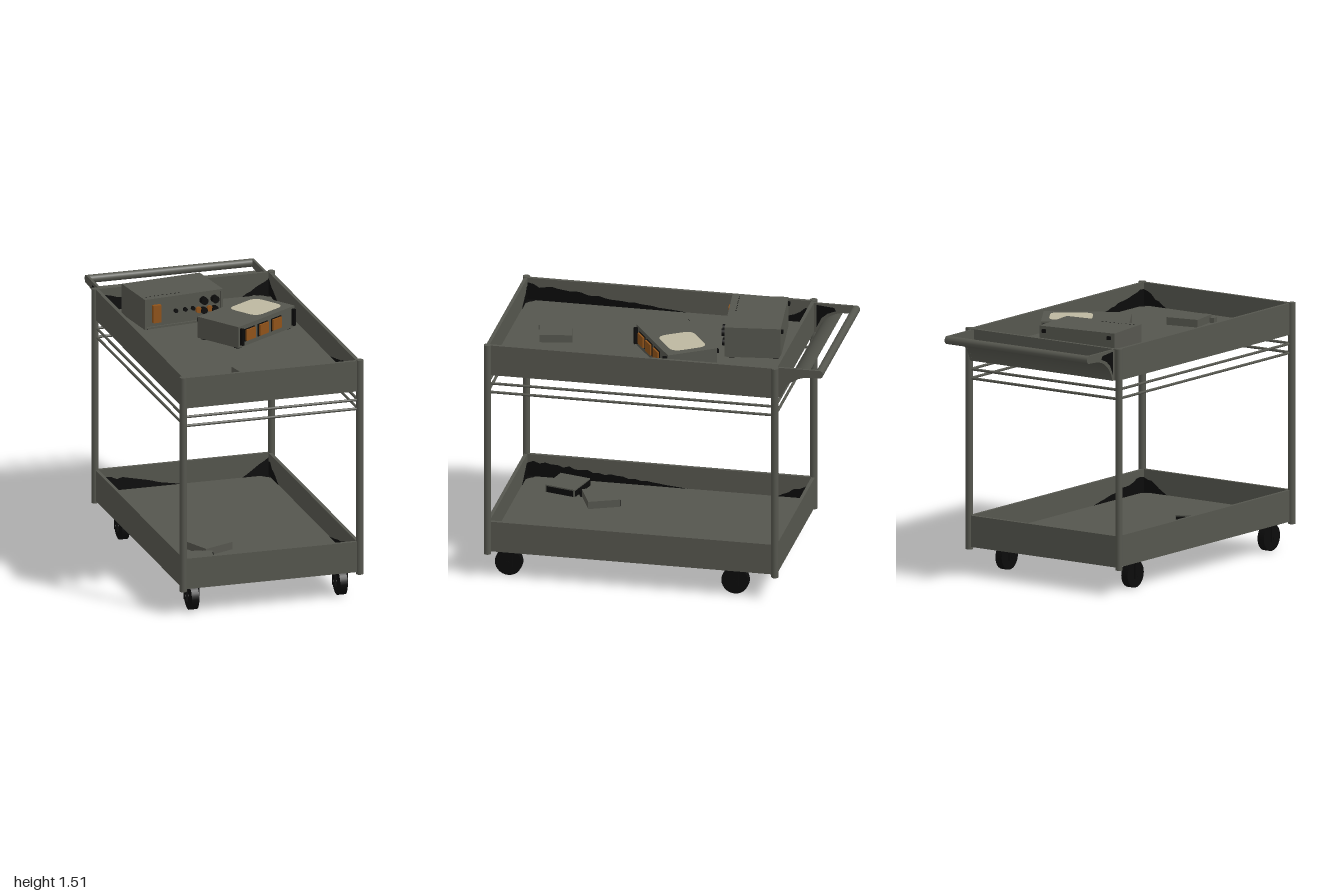
import * as THREE from 'three';

const paint = new THREE.MeshStandardMaterial({ color: 0x55564e });
const sheet = new THREE.MeshStandardMaterial({ color: 0x55564e, side: THREE.DoubleSide });
const black = new THREE.MeshStandardMaterial({ color: 0x0b0b0b });
const grime = new THREE.MeshStandardMaterial({ color: 0x0b0b0b, side: THREE.DoubleSide });
const orange = new THREE.MeshStandardMaterial({ color: 0x8f5219 });
const cream = new THREE.MeshStandardMaterial({ color: 0xbdb7a0 });
paint.name = 'grey paint'; sheet.name = 'grey sheet'; black.name = 'black rubber';
grime.name = 'black grime'; orange.name = 'rust orange'; cream.name = 'cream paper';

const X = 0.535, ZF = 0.98, ZB = -0.72, ZC = (ZF + ZB) / 2, LEN = ZF - ZB;

function add(parent, name, geo, mat, x = 0, y = 0, z = 0) {
  const m = new THREE.Mesh(geo, mat);
  m.name = name;
  m.position.set(x, y, z);
  parent.add(m);
  return m;
}
const box = (p, name, mat, w, h, d, x, y, z) => add(p, name, new THREE.BoxGeometry(w, h, d), mat, x, y, z);

// Cylinder lying along 'x' or 'z', or standing along 'y'
function rod(p, name, mat, r, len, axis, x, y, z, sides = 16) {
  const g = new THREE.CylinderGeometry(r, r, len, sides);
  if (axis === 'x') g.rotateZ(Math.PI / 2);
  if (axis === 'z') g.rotateX(Math.PI / 2);
  return add(p, name, g, mat, x, y, z);
}

let seed = 7;
const rnd = () => (seed = (seed * 16807) % 2147483647) / 2147483647;

// Ragged stain that fades away from a tray corner
function stain(p, len, h, angle, x, y, z) {
  const s = new THREE.Shape();
  s.moveTo(0, 0);
  const n = Math.max(6, Math.round(len / 0.035));
  for (let i = 0; i < n; i++) s.lineTo((i / n) * len, h * (1 - i / n) * (0.75 + 0.25 * rnd()));
  s.lineTo(len, 0);
  add(p, 'grimeStain', new THREE.ShapeGeometry(s), grime, x, y, z).rotation.y = angle;
}

function tray(p, name, bottom) {
  const g = new THREE.Group();
  g.name = name;
  p.add(g);
  const H = 0.185, y = bottom + H / 2, floor = bottom + 0.05;
  for (const s of [-1, 1]) {
    box(g, 'sideWall', paint, 0.02, H, LEN, s * 0.525, y, ZC);
    box(g, 'endWall', paint, 2 * X - 0.02, H, 0.02, 0, y, s > 0 ? ZF : ZB);
  }
  box(g, 'trayFloor', paint, 2 * X - 0.03, 0.015, LEN - 0.01, 0, floor - 0.0075, ZC);
  // Stains on walls and floor in each corner
  for (const sx of [-1, 1]) for (const sz of [-1, 1]) {
    const long = sx !== sz;
    const z = sz > 0 ? ZF - 0.012 : ZB + 0.012, x = sx * 0.513;
    stain(g, long && sx < 0 ? 0.95 : sx > 0 && sz > 0 ? 0.5 : 0.2, 0.11, sz * Math.PI / 2, x, floor, z);
    stain(g, sz < 0 && sx < 0 ? 0.5 : 0.16, 0.11, sx < 0 ? 0 : Math.PI, x, floor, z);
    const c = new THREE.Shape([[0, 0], [0.06, 0], [0.035, 0.02], [0.02, 0.04], [0, 0.05]].map(a => new THREE.Vector2(-a[0] * sx, -a[1] * sz)));
    const m = add(g, 'floorStain', new THREE.ShapeGeometry(c), grime, x, floor + 0.002, z);
    m.rotation.x = Math.PI / 2;
  }
  return g;
}

function caster(p, x, z) {
  const g = new THREE.Group();
  g.name = 'caster';
  g.position.set(x, 0, z);
  p.add(g);
  rod(g, 'wheel', black, 0.08, 0.045, 'x', 0, 0.08, 0, 28);
  rod(g, 'axle', black, 0.014, 0.085, 'x', 0, 0.08, 0, 12);
  box(g, 'forkTop', black, 0.08, 0.012, 0.1, 0, 0.166, 0);
  for (const s of [-1, 1]) box(g, 'forkPlate', black, 0.01, 0.11, 0.05, s * 0.035, 0.111, 0);
}

// Push handle: two curved brackets, a curved sheet and a round bar
function pushHandle(p) {
  const g = new THREE.Group();
  g.name = 'pushHandle';
  p.add(g);
  const curve = new THREE.CubicBezierCurve(
    new THREE.Vector2(0.75, 1.268), new THREE.Vector2(0.765, 1.34),
    new THREE.Vector2(0.83, 1.4), new THREE.Vector2(0.92, 1.402));
  const pts = curve.getPoints(14);
  const side = new THREE.Shape([...pts, new THREE.Vector2(0.975, 1.405), new THREE.Vector2(0.975, 1.45),
    new THREE.Vector2(0.73, 1.45), new THREE.Vector2(0.73, 1.268)]);
  const plate = new THREE.ExtrudeGeometry(side, { depth: 0.014, bevelEnabled: false });
  plate.rotateY(Math.PI / 2).translate(-0.007, 0, 0);
  const dark = new THREE.ShapeGeometry(new THREE.Shape([[0.745, 1.3], [0.775, 1.36], [0.81, 1.39], [0.86, 1.41], [0.85, 1.43], [0.745, 1.44]]
    .map(a => new THREE.Vector2(...a)))).rotateY(Math.PI / 2);
  for (const s of [-1, 1]) {
    add(g, 'handleBracket', plate, paint, s * 0.502);
    add(g, 'bracketStain', dark, grime, -0.502 + s * 0.009);
  }
  const pos = [], idx = [];
  pts.forEach((q, i) => {
    const z = Math.min(q.x, 0.9);
    pos.push(-0.5, q.y + 0.001, -z, 0.5, q.y + 0.001, -z);
    if (i) idx.push(2 * i - 2, 2 * i - 1, 2 * i, 2 * i - 1, 2 * i + 1, 2 * i);
  });
  const geo = new THREE.BufferGeometry();
  geo.setAttribute('position', new THREE.Float32BufferAttribute(pos, 3));
  geo.setIndex(idx);
  geo.computeVertexNormals();
  add(g, 'handleSheet', geo, sheet);
  rod(g, 'handleBar', paint, 0.024, 1.018, 'x', 0, 1.427, -0.976, 20);
}

// Instrument case with feet and front and rear grips; its front is +z
function instrument(p, name, x, y, z, angle, w, h, d) {
  const g = new THREE.Group();
  g.name = name;
  g.position.set(x, y, z);
  g.rotation.y = angle;
  p.add(g);
  box(g, 'case', paint, w, h - 0.01, d, 0, h / 2 + 0.005, 0);
  for (const sx of [-1, 1]) for (const sz of [-1, 1])
    box(g, 'foot', black, 0.03, 0.01, 0.03, sx * (w / 2 - 0.03), 0.005, sz * (d / 2 - 0.03));
  return g;
}

// Small flat box lying on a tray
function packet(p, x, y, z, angle, tab) {
  const g = new THREE.Group();
  g.name = 'smallBox';
  g.position.set(x, y, z);
  g.rotation.y = angle;
  p.add(g);
  box(g, 'boxBody', paint, 0.2, 0.045, 0.19, 0, 0.0225, 0);
  box(g, 'boxTab', tab, 0.04, 0.03, 0.04, -0.11, 0.015, 0.085);
  return g;
}

export function createModel() {
  const root = new THREE.Group();
  root.name = 'utilityCart';

  // Corner posts, rails and casters
  for (const x of [-X, X]) for (const z of [ZF, ZB]) {
    rod(root, 'cornerPost', paint, 0.021, 1.305, 'y', x, 0.8025, z, 20);
    caster(root, Math.sign(x) * 0.45, z > 0 ? 0.87 : -0.47);
  }
  for (const y of [1.158, 1.212]) for (const s of [-1, 1]) {
    rod(root, 'sideRail', paint, 0.008, LEN, 'z', s * 0.525, y, ZC, 10);
    rod(root, 'endRail', paint, 0.008, 2 * X, 'x', 0, y, s > 0 ? ZF : ZB, 10);
  }

  // Trays
  tray(root, 'topTray', 1.267);
  tray(root, 'lowerTray', 0.165);
  box(root, 'lowerUnderside', black, 2 * X - 0.02, 0.008, LEN, 0, 0.168, ZC);
  pushHandle(root);

  // Tall instrument with framed front, switch, knobs and vents
  const FL = 1.317;
  const a = instrument(root, 'tallInstrument', -0.147, FL, -0.47, 0.12, 0.495, 0.193, 0.315);
  for (const s of [-1, 1]) {
    box(a, 'frontFrameSide', paint, 0.012, 0.183, 0.012, s * 0.2415, 0.1015, 0.162);
    box(a, 'frontFrameBar', paint, 0.495, 0.012, 0.012, 0, s > 0 ? 0.187 : 0.016, 0.162);
    box(a, 'rearFoot', black, 0.022, 0.02, 0.014, s * 0.215, 0.165, -0.163);
  }
  box(a, 'powerSwitch', orange, 0.05, 0.105, 0.025, -0.173, 0.1, 0.17);
  for (const x of [-0.05, 0.01, 0.06]) rod(a, 'socket', black, 0.012, 0.02, 'z', x, 0.1, 0.165, 12);
  for (const x of [0.125, 0.195]) {
    rod(a, 'knob', black, 0.022, 0.035, 'z', x, 0.14, 0.172);
    rod(a, 'knobRing', orange, 0.018, 0.02, 'z', x - 0.03, 0.085, 0.164);
    rod(a, 'lowerKnob', black, 0.02, 0.03, 'z', x, 0.08, 0.17);
  }
  for (let i = 0; i < 9; i++) box(a, 'ventHole', black, 0.008, 0.002, 0.005, -0.22 + i * 0.026, 0.1935, 0.125);

  // Low instrument with three buttons, grips and a paper label
  const b = instrument(root, 'lowInstrument', 0.175, FL, -0.0625, 0.577, 0.513, 0.138, 0.305);
  for (const i of [-1, 0, 1]) {
    box(b, 'button', orange, 0.08, 0.065, 0.024, -0.036 + i * 0.12, 0.075, 0.156);
    box(b, 'buttonBase', black, 0.09, 0.075, 0.006, -0.036 + i * 0.12, 0.075, 0.154);
  }
  for (const s of [-1, 1]) {
    box(b, 'frontGrip', black, 0.016, 0.1, 0.024, s * 0.235, 0.075, 0.162);
    box(b, 'rearBolt', black, 0.022, 0.022, 0.016, s * 0.235, 0.115, -0.158);
  }
  const label = new THREE.Shape(), lw = 0.125, lh = 0.11, r = 0.06;
  label.moveTo(-lw + r, -lh);
  label.lineTo(lw - r, -lh).quadraticCurveTo(lw, -lh, lw, -lh + r);
  label.lineTo(lw, lh - r).quadraticCurveTo(lw, lh, lw - r, lh);
  label.lineTo(-lw + r, lh).quadraticCurveTo(-lw, lh, -lw, lh - r);
  label.lineTo(-lw, -lh + r).quadraticCurveTo(-lw, -lh, -lw + r, -lh);
  add(b, 'paperLabel', new THREE.ShapeGeometry(label), cream, 0.089, 0.1405, 0).rotation.x = -Math.PI / 2;

  // Small boxes on both trays
  packet(root, -0.01, FL, 0.69, 0.19, paint);
  const lowY = 0.215;
  const c = packet(root, -0.22, lowY, 0.47, 0.4, black);
  box(c, 'boxBack', black, 0.19, 0.035, 0.006, 0, 0.02, -0.096);
  const d = packet(root, -0.37, lowY, 0.7, -0.25, black);
  box(d, 'boxEdge', black, 0.006, 0.035, 0.17, 0.102, 0.02, 0);
  box(d, 'boxBack', black, 0.19, 0.035, 0.006, 0, 0.02, -0.096);
  return root;
}
